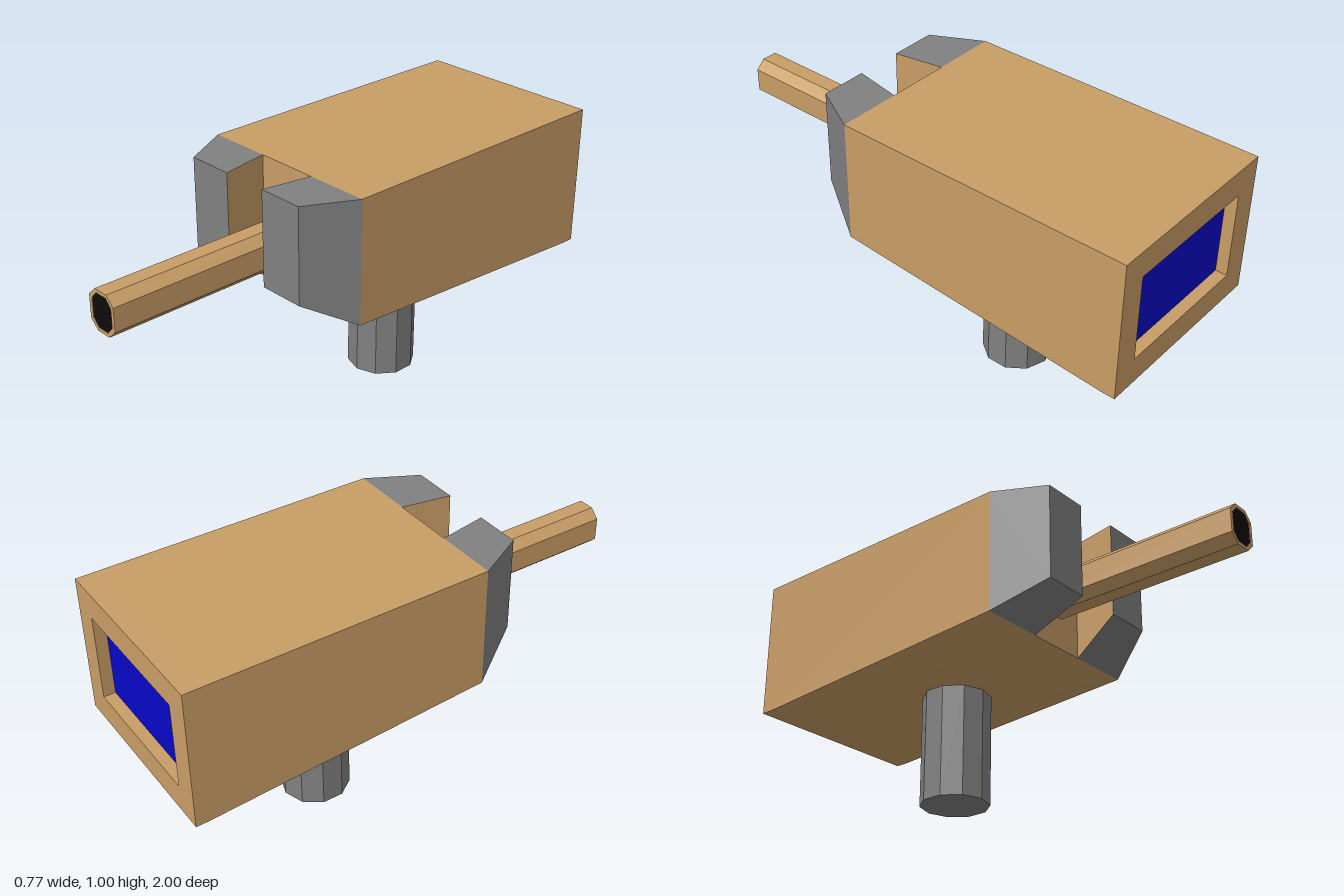
import * as THREE from 'three';
import { ConvexGeometry } from 'three/addons/geometries/ConvexGeometry.js';

const mat = (name, color, extra = {}) => Object.assign(new THREE.MeshStandardMaterial({ color, ...extra }), { name });

// Octagon with separate flat lengths: half width, half height, half top edge, half side edge
function octagon(w, h, t, s, Type = THREE.Shape) {
  const pts = [[w, -s], [w, s], [t, h], [-t, h], [-w, s], [-w, -s], [-t, -h], [t, -h]];
  return new Type(pts.map(([x, y]) => new THREE.Vector2(x, y)));
}

function rectangle(x, y0, y1, Type = THREE.Shape) {
  return new Type([[-x, y0], [x, y0], [x, y1], [-x, y1]].map(([a, b]) => new THREE.Vector2(a, b)));
}

const hull = (pts) => new ConvexGeometry(pts.map((p) => new THREE.Vector3(...p)));

export function createModel() {
  const tan = mat('tan casing', 0xc89d66);
  const grey = mat('grey metal', 0x808080);
  const blue = mat('blue screen', 0x0808c8);
  const black = mat('black bore', 0x0c0c0c);

  const model = new THREE.Group();
  const add = (name, geometry, material, x = 0, y = 0, z = 0) => {
    const mesh = new THREE.Mesh(geometry, material);
    mesh.name = name;
    mesh.position.set(x, y, z);
    model.add(mesh);
    return mesh;
  };

  const W = 0.383, FRONT = 0.19, BACK = -0.95;

  // Main housing, with the underside chamfered towards the front
  add('housing', hull([-1, 1].flatMap((s) => [
    [s * W, 1, FRONT], [s * W, 1, BACK],
    [s * W, 0.51, FRONT], [s * 0.21, 0.44, -0.03], [s * W, 0.44, BACK],
  ])), tan);

  // Rear frame around the recessed screen
  const frame = rectangle(W, 0.44, 1);
  frame.holes.push(rectangle(0.282, 0.547, 0.893, THREE.Path));
  add('rearFrame', new THREE.ExtrudeGeometry(frame, { depth: 0.05, bevelEnabled: false }), tan, 0, 0, -1);
  add('screen', new THREE.BoxGeometry(0.564, 0.346, 0.004), blue, 0, 0.72, BACK - 0.002);

  // Tapered front blocks, grey with a tan inner cheek
  for (const s of [-1, 1]) {
    const geo = hull([
      [s * 0.128, 1, FRONT], [s * W, 1, FRONT], [s * 0.128, 0.51, FRONT], [s * W, 0.51, FRONT],
      [s * 0.093, 1, 0.385], [s * 0.28, 1, 0.385], [s * 0.093, 0.62, 0.385], [s * 0.28, 0.62, 0.385],
    ]);
    const normals = geo.attributes.normal;
    for (let i = 0; i < normals.count; i += 3) {
      geo.addGroup(i, 3, normals.getX(i) * s < -0.7 ? 1 : 0);
    }
    add(s > 0 ? 'leftFrontBlock' : 'rightFrontBlock', geo, [grey, tan]);
  }

  // Hollow barrel and its dark bore
  const barrel = octagon(0.068, 0.08, 0.032, 0.046);
  barrel.holes.push(octagon(0.053, 0.066, 0.026, 0.037, THREE.Path));
  add('barrel', new THREE.ExtrudeGeometry(barrel, { depth: 1 - FRONT, bevelEnabled: false }), tan, 0, 0.717, FRONT);
  add('bore', new THREE.ShapeGeometry(octagon(0.053, 0.066, 0.026, 0.037)), black, 0, 0.717, 0.998);

  // Ten-sided support post
  const post = new THREE.CylinderGeometry(0.134, 0.134, 0.45, 10).toNonIndexed();
  post.computeVertexNormals();
  add('post', post, grey, 0, 0.225, -0.305);

  return model;
}
